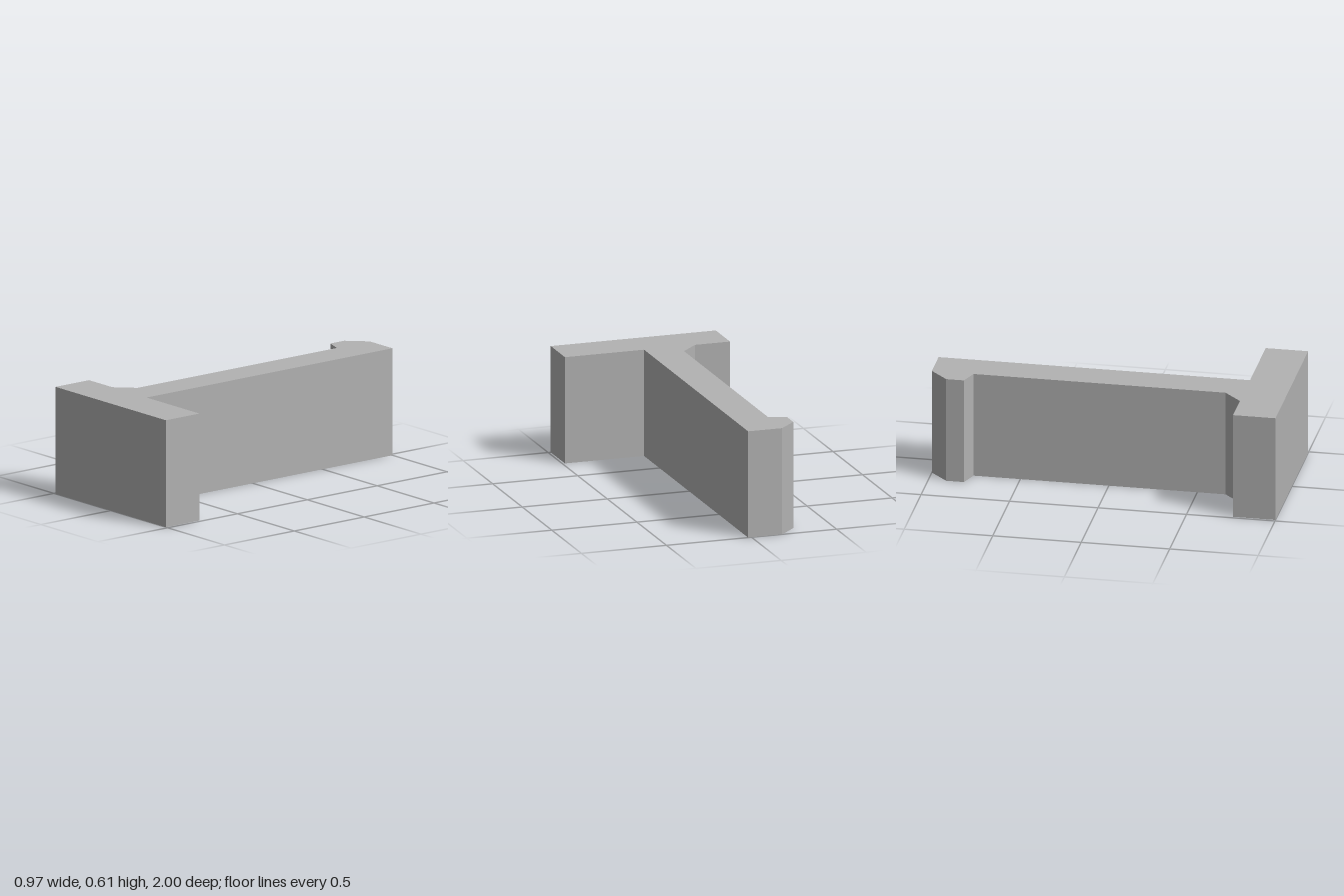
import * as THREE from 'three';

const HEIGHT = 0.613;

// Plan outline of the figure as [x, z] points
const OUTLINE = [
  // foot slab
  [-0.485, 1], [0.485, 1], [0.485, 0.76], [0.02, 0.76],
  // stem
  [0.02, -1], [-0.18, -1],
  // hooked tip
  [-0.28, -0.9], [-0.28, -0.8], [-0.18, -0.765],
  // chamfered corner back to the foot
  [-0.18, 0.66], [-0.28, 0.76], [-0.485, 0.76],
];

export function createModel() {
  const group = new THREE.Group();
  group.name = 'hookedBar';

  const grey = new THREE.MeshStandardMaterial({ color: 0xb2b2b2 });
  grey.name = 'plain grey';

  // Extrude the plan upwards; shape y is -z
  const shape = new THREE.Shape(OUTLINE.map(([x, z]) => new THREE.Vector2(x, -z)));
  const geometry = new THREE.ExtrudeGeometry(shape, { depth: HEIGHT, bevelEnabled: false });
  geometry.rotateX(-Math.PI / 2);

  const body = new THREE.Mesh(geometry, grey);
  body.name = 'body';
  group.add(body);
  return group;
}
